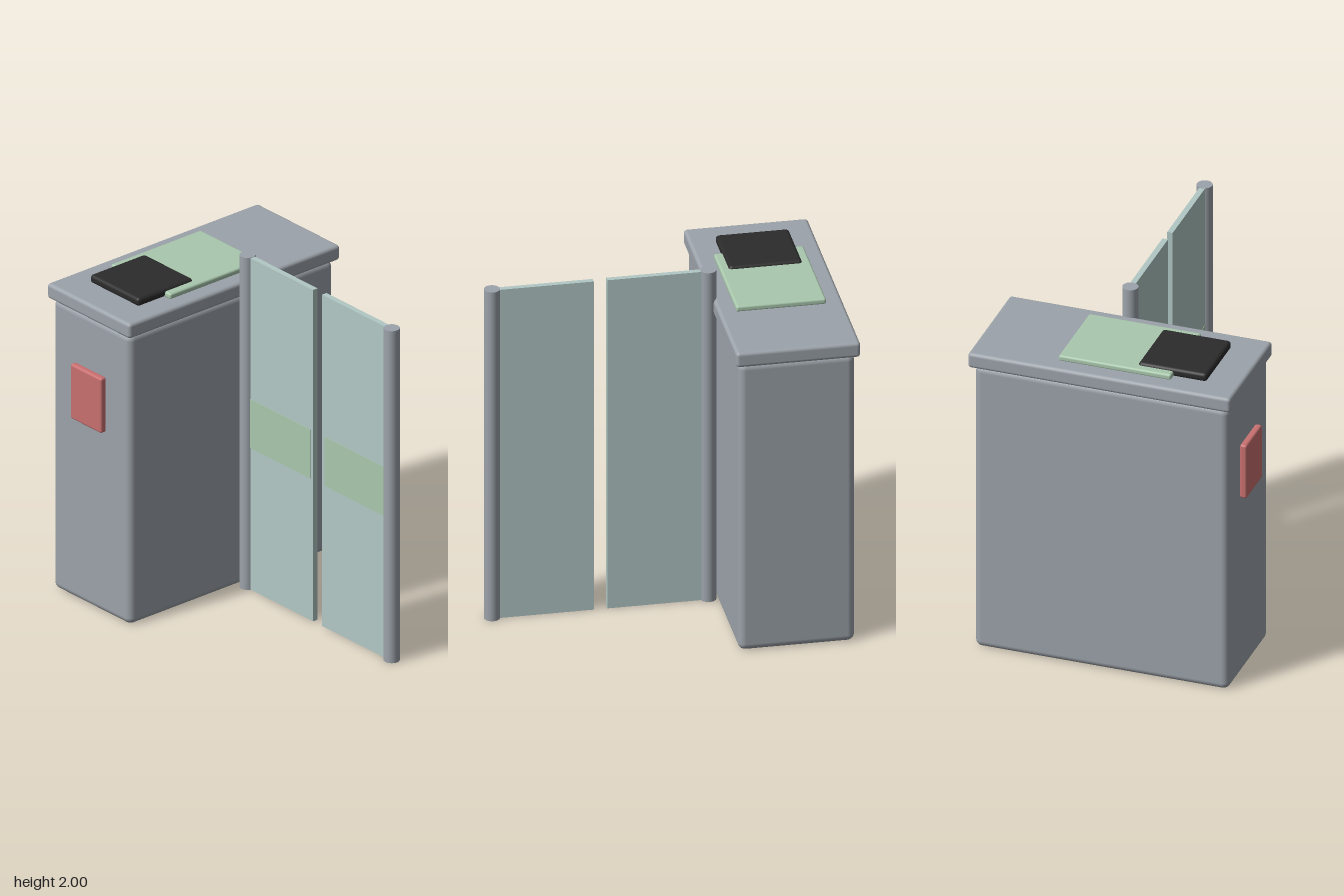
import * as THREE from 'three';
import { RoundedBoxGeometry } from 'three/addons/geometries/RoundedBoxGeometry.js';

function material(name, color) {
  const m = new THREE.MeshStandardMaterial({ color });
  m.name = name;
  return m;
}

export function createModel() {
  const group = new THREE.Group();
  const metal = material('grey metal', 0x9ca3aa);
  const glass = material('pale teal glass', 0xb2c9c5);
  const green = material('soft green', 0xa9c8ad);
  const red = material('muted red', 0xc97070);
  const black = material('black', 0x2b2b2b);

  function add(name, geometry, mat, x, y, z) {
    const mesh = new THREE.Mesh(geometry, mat);
    mesh.name = name;
    mesh.position.set(x, y, z);
    group.add(mesh);
  }

  // Box given by its limits on each axis; a radius rounds its edges
  function box(name, mat, [x0, x1], [y0, y1], [z0, z1], radius = 0) {
    const size = [x1 - x0, y1 - y0, z1 - z0];
    const geometry = radius
      ? new RoundedBoxGeometry(...size, 4, radius)
      : new THREE.BoxGeometry(...size);
    add(name, geometry, mat, (x0 + x1) / 2, (y0 + y1) / 2, (z0 + z1) / 2);
  }

  // Cabinet with an overhanging lid
  box('cabinet', metal, [-0.95, -0.31], [0, 1.745], [-0.735, 0.725], 0.04);
  box('lid', metal, [-0.975, -0.29], [1.74, 1.83], [-0.765, 0.745], 0.02);

  // Pads on the lid and the panel on the front
  box('topPanel', green, [-0.88, -0.385], [1.825, 1.86], [-0.275, 0.37], 0.012);
  box('reader', black, [-0.835, -0.43], [1.825, 1.875], [0.165, 0.56], 0.02);
  box('frontPanel', red, [-0.76, -0.505], [1.1, 1.43], [0.722, 0.763], 0.013);

  // Two gate leaves, each hung on its own post, with a strip on the front
  const leaves = [
    { side: 'right', post: -0.267, pane: [-0.25, 0.292], strip: [-0.235, 0.27] },
    { side: 'left', post: 0.925, pane: [0.367, 0.91], strip: [0.388, 0.895] },
  ];
  for (const { side, post, pane, strip } of leaves) {
    add(side + 'Post', new THREE.CylinderGeometry(0.044, 0.044, 2, 32), metal, post, 1, -0.081);
    box(side + 'Pane', glass, pane, [0.002, 1.998], [-0.097, -0.065]);
    box(side + 'Strip', green, strip, [0.855, 1.15], [-0.066, -0.063]);
  }
  return group;
}
